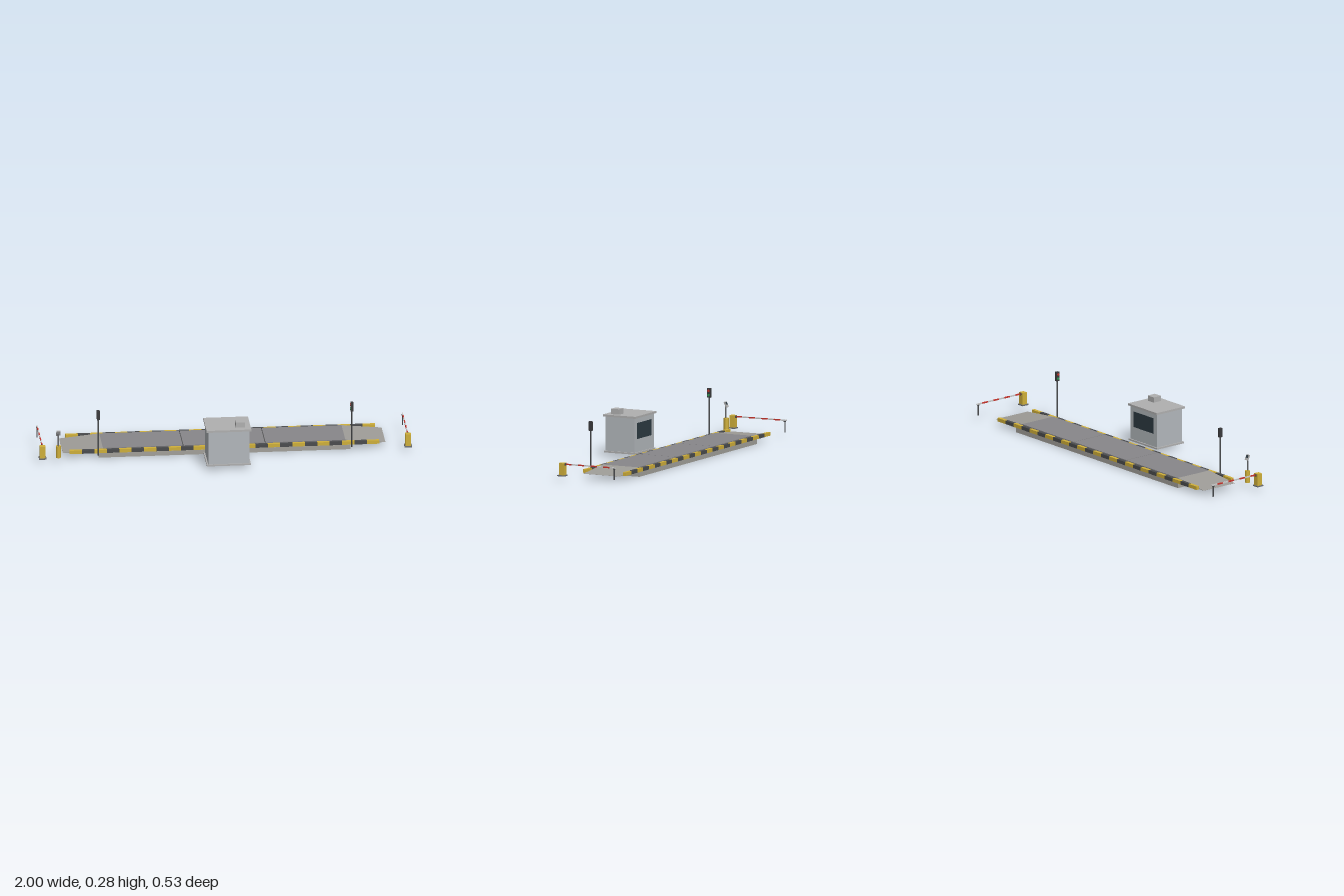
import * as THREE from 'three';

const mat = (color) => new THREE.MeshStandardMaterial({ color });
const M = {
  concrete: mat(0xa3a19b), deck: mat(0x88878a), ramp: mat(0x9f9d98),
  yellow: mat(0xd0b03a), dark: mat(0x4a4c4e), black: mat(0x3a3a3c),
  wall: mat(0xb3b8bc), roof: mat(0xb0b0b0), glass: mat(0x2c3a42),
  red: mat(0xc8342c), white: mat(0xcccccc), green: mat(0x2f9a55), steel: mat(0x6c6e70),
};
const GROUND = 0.025;

function add(parent, name, geo, material, x = 0, y = 0, z = 0) {
  const m = new THREE.Mesh(geo, material);
  m.name = name;
  m.position.set(x, y, z);
  parent.add(m);
  return m;
}
// box given by its extents on each axis
function box(parent, name, material, [x0, x1], [y0, y1], [z0, z1]) {
  return add(parent, name, new THREE.BoxGeometry(x1 - x0, y1 - y0, z1 - z0), material,
    (x0 + x1) / 2, (y0 + y1) / 2, (z0 + z1) / 2);
}
function group(parent, name, x = 0, y = 0, z = 0) {
  const g = new THREE.Group();
  g.name = name;
  g.position.set(x, y, z);
  parent.add(g);
  return g;
}

function buildPlatform(root) {
  const g = group(root, 'weighPlatform');
  box(g, 'foundation', M.concrete, [-0.675, 0.675], [0, GROUND], [-0.245, 0.014]);
  // three deck plates with narrow joints
  for (const [a, b] of [[-0.65, -0.222], [-0.218, 0.218], [0.222, 0.65]])
    box(g, 'deckPlate', M.deck, [a, b], [GROUND, 0.047], [-0.224, -0.007]);
  // wedge ramps at both ends
  const s = new THREE.Shape();
  s.moveTo(0, 0);
  s.lineTo(0.215, 0);
  s.lineTo(0.215, 0.0008);
  s.lineTo(0, 0.022);
  s.closePath();
  const wedge = new THREE.ExtrudeGeometry(s, { depth: 0.217, bevelEnabled: false }).translate(0, 0, -0.1085);
  for (const side of [1, -1]) {
    const r = add(g, 'ramp', wedge, M.ramp, side * 0.65, GROUND, -0.1155);
    if (side < 0) r.rotation.y = Math.PI;
  }
  // striped guide curbs
  const n = 25, w = 1.66 / n;
  for (const z of [0.004, -0.236])
    for (let i = 0; i < n; i++) {
      const x = -0.83 + i * w;
      box(g, 'curbStripe', i % 2 ? M.dark : M.yellow, [x, x + w], [GROUND, 0.044], [z - 0.009, z + 0.009]);
    }
}

function buildBooth(root) {
  const g = group(root, 'operatorBooth');
  box(g, 'boothBase', M.roof, [-0.118, 0.118], [0.024, 0.033], [0.073, 0.262]);
  box(g, 'boothWalls', M.wall, [-0.11, 0.11], [0.033, 0.218], [0.08, 0.255]);
  box(g, 'boothRoof', M.roof, [-0.12, 0.12], [0.218, 0.229], [0.07, 0.267]);
  box(g, 'boothWindow', M.glass, [-0.082, 0.082], [0.104, 0.19], [0.078, 0.081]);
  box(g, 'airConditioner', M.roof, [0.04, 0.09], [0.229, 0.258], [0.183, 0.233]);
}

// signal with lenses facing the platform
function buildSignal(root, side) {
  const g = group(root, 'trafficSignal', side * 0.68, 0, 0.045);
  add(g, 'signalPole', new THREE.CylinderGeometry(0.0035, 0.0035, 0.205, 10), M.dark, 0, 0.1275, 0);
  box(g, 'signalHead', M.black, [-0.0075, 0.0075], [0.23, 0.28], [-0.01, 0.01]);
  const lens = new THREE.CylinderGeometry(0.007, 0.007, 0.003, 14).rotateZ(Math.PI / 2);
  add(g, 'redLens', lens, M.red, -side * 0.008, 0.267, 0);
  add(g, 'greenLens', lens, M.green, -side * 0.008, 0.244, 0);
}

function buildBarrier(root, side) {
  const g = group(root, 'barrier', side * 0.98, 0, 0);
  box(g, 'barrierBase', M.steel, [-0.02, 0.02], [0.024, 0.03], [0.038, 0.08]);
  box(g, 'barrierCabinet', M.yellow, [-0.015, 0.015], [0.03, 0.095], [0.043, 0.073]);
  const hub = add(g, 'armHub', new THREE.CylinderGeometry(0.007, 0.007, 0.006, 12), M.dark, 0, 0.088, 0.04);
  hub.rotation.x = Math.PI / 2;
  // striped arm
  const len = 0.038;
  for (let i = 0; i < 8; i++) {
    const z = 0.04 - i * len;
    box(g, 'armStripe', i % 2 ? M.white : M.red, [-0.003, 0.003], [0.085, 0.092], [z - len, z]);
  }
  // arm rest
  add(g, 'armRestPost', new THREE.CylinderGeometry(0.003, 0.003, 0.057, 10), M.dark, 0, 0.0525, -0.2535);
  box(g, 'armRestCradle', M.dark, [-0.006, 0.006], [0.08, 0.085], [-0.258, -0.249]);
}

function buildKiosk(root) {
  const g = group(root, 'driverKiosk', -0.895, 0, 0.058);
  add(g, 'kioskPedestal', new THREE.CylinderGeometry(0.0135, 0.0135, 0.066, 14), M.yellow, 0, 0.058, -0.003);
  add(g, 'kioskPole', new THREE.CylinderGeometry(0.004, 0.004, 0.075, 10), M.steel, 0, 0.1245, 0);
  const head = group(g, 'kioskHead', 0, 0.164, -0.003);
  head.rotation.x = 0.45;
  box(head, 'terminalBody', M.roof, [-0.011, 0.011], [-0.016, 0.016], [-0.004, 0.004]);
  box(head, 'terminalScreen', M.glass, [-0.008, 0.008], [-0.003, 0.012], [-0.005, -0.003]);
}

export function createModel() {
  const root = new THREE.Group();
  root.name = 'weighbridge';
  buildPlatform(root);
  buildBooth(root);
  for (const side of [1, -1]) {
    buildSignal(root, side);
    buildBarrier(root, side);
  }
  buildKiosk(root);
  return root;
}
